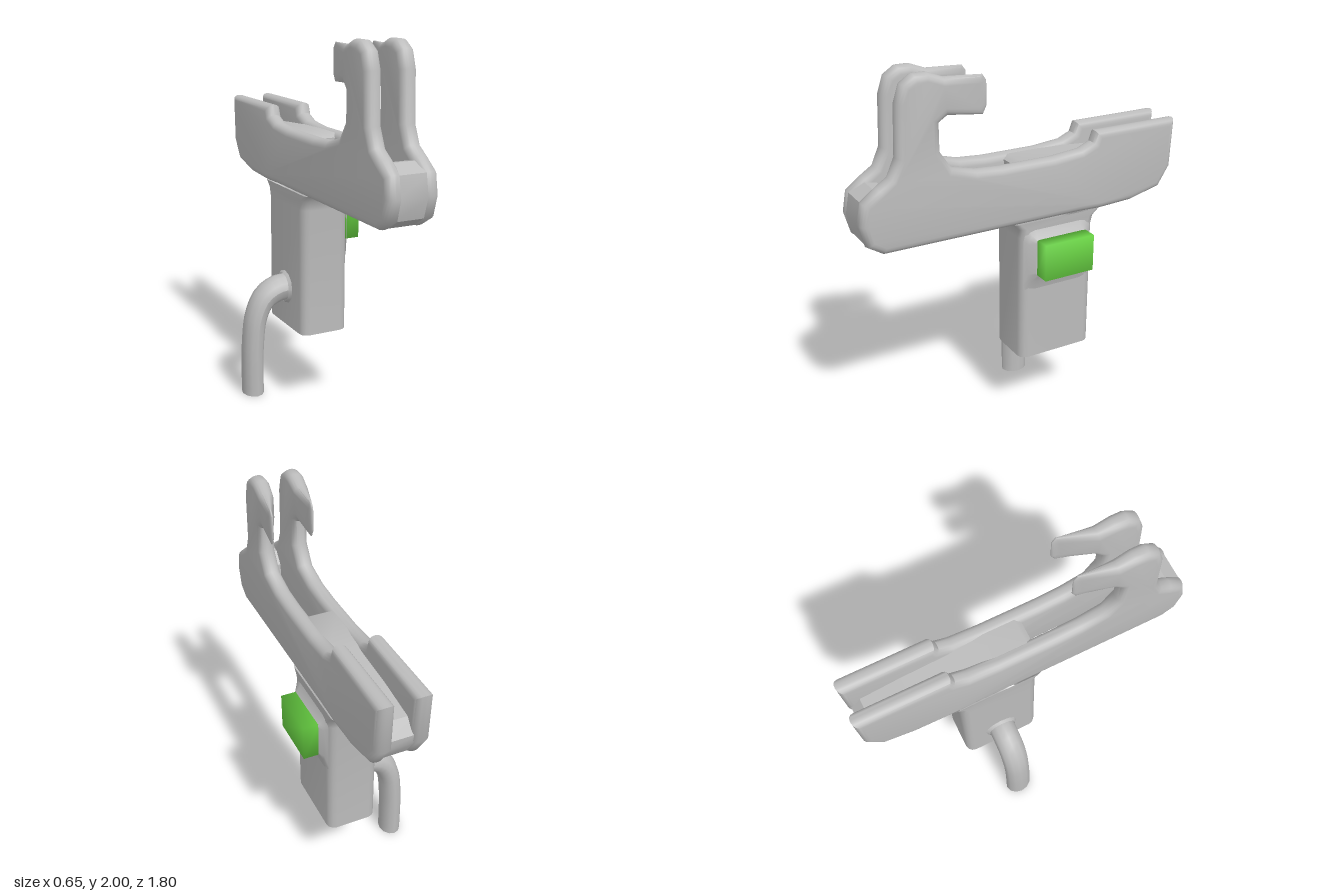
import * as THREE from 'three';
import { toCreasedNormals, mergeVertices } from 'three/addons/utils/BufferGeometryUtils.js';

const grey = new THREE.MeshStandardMaterial({ color: 0xbcbcbc, side: THREE.DoubleSide });
grey.name = 'grey metal';
const green = new THREE.MeshStandardMaterial({ color: 0x6ad544 });
green.name = 'green button';

function add(group, name, geometry, material) {
  const mesh = new THREE.Mesh(geometry, material);
  mesh.name = name;
  group.add(mesh);
}

// Side profile given as [z, y] pairs, extruded from x0 to x1 with rounded edges
function plate(profile, x0, x1, bevel) {
  const shape = new THREE.Shape(profile.map(([z, y]) => new THREE.Vector2(z, y)));
  const g = new THREE.ExtrudeGeometry(shape, {
    depth: x1 - x0 - 2 * bevel, bevelEnabled: bevel > 0,
    bevelThickness: bevel, bevelSize: bevel, bevelOffset: -bevel, bevelSegments: 4,
  });
  g.rotateY(-Math.PI / 2);
  g.translate(x1 - bevel, 0, 0);
  return g;
}

// Open skin through rounded rectangles [height, u0, u1, v0, v1, radius];
// place(u, v, height) turns each corner into a point
function loft(sections, place) {
  const pos = [], index = [], n = 16;
  for (const [h, u0, u1, v0, v1, r] of sections) {
    for (let i = 0; i < n; i++) {
      const q = Math.floor(i / 4), a = (q + (i % 4) / 3) * Math.PI / 2;
      const cu = q === 0 || q === 3 ? u1 - r : u0 + r;
      const cv = q < 2 ? v1 - r : v0 + r;
      pos.push(...place(cu + r * Math.cos(a), cv + r * Math.sin(a), h));
    }
  }
  for (let s = 0; s < sections.length - 1; s++) {
    for (let i = 0; i < n; i++) {
      const a = s * n + i, b = s * n + (i + 1) % n;
      index.push(a, a + n, b, b, a + n, b + n);
    }
  }
  const g = new THREE.BufferGeometry();
  g.setAttribute('position', new THREE.Float32BufferAttribute(pos, 3));
  g.setIndex(index);
  return toCreasedNormals(g, 0.9);
}

// Side rail with a hook in front and a raised fin behind
const railProfile = [
  [0.79, 1.16], [0.87, 1.21], [0.9, 1.32], [0.88, 1.43], [0.8, 1.49], [0.74, 1.53],
  [0.7, 1.62], [0.69, 1.87], [0.66, 1.96], [0.6, 2], [0.53, 2], [0.45, 1.97],
  [0.27, 1.97], [0.25, 1.94], [0.25, 1.82], [0.27, 1.78], [0.44, 1.79], [0.48, 1.76],
  [0.48, 1.62], [0.42, 1.53], [0.29, 1.495], [0.15, 1.485], [-0.15, 1.485], [-0.31, 1.5],
  [-0.38, 1.53], [-0.4, 1.585], [-0.9, 1.585], [-0.89, 1.32], [-0.82, 1.21],
  [-0.64, 1.165], [-0.44, 1.155], [-0.3, 1.16],
];

// The hook tip narrows to a thin blade and leans towards +x
function rail(x0, x1, tipX) {
  const g = plate(railProfile, x0, x1, 0.037);
  const p = g.attributes.position, mid = (x0 + x1) / 2;
  for (let i = 0; i < p.count; i++) {
    if (p.getY(i) < 1.7) continue;
    const t = THREE.MathUtils.clamp((0.48 - p.getZ(i)) / 0.2, 0, 1);
    p.setX(i, THREE.MathUtils.lerp(p.getX(i), tipX + (p.getX(i) - mid) * 0.22, t));
  }
  return toCreasedNormals(g, 0.8);
}

export function createModel() {
  const model = new THREE.Group();
  model.name = 'hookedBracket';

  add(model, 'rightRail', rail(-0.06, 0.028, 0.012), grey);
  add(model, 'leftRail', rail(0.127, 0.215, 0.224), grey);

  // Fillings between the rails, leaving the front slot open
  const web = [
    [0.05, 1.162], [0.05, 1.46], [0.02, 1.48], [-0.3, 1.48], [-0.6, 1.46], [-0.82, 1.43],
    [-0.875, 1.36], [-0.87, 1.31], [-0.81, 1.215], [-0.64, 1.168], [-0.44, 1.158],
  ];
  add(model, 'rearWeb', toCreasedNormals(plate(web, -0.022, 0.177, 0), 0.6), grey);
  const nose = [
    [0.67, 1.162], [0.785, 1.162], [0.867, 1.213], [0.897, 1.32], [0.877, 1.428],
    [0.8, 1.47], [0.74, 1.46], [0.69, 1.4],
  ];
  add(model, 'nose', toCreasedNormals(plate(nose, -0.022, 0.177, 0), 0.6), grey);

  // Hollow column, open below, flaring into the rails
  add(model, 'column', loft([
    [0.375, -0.06, 0.215, -0.39, 0.05, 0.045],
    [1.08, -0.06, 0.215, -0.39, 0.05, 0.045],
    [1.13, -0.06, 0.215, -0.4, 0.058, 0.04],
    [1.165, -0.058, 0.213, -0.44, 0.09, 0.035],
  ], (u, v, h) => [u, h, v]), grey);

  // Flared boss and the button on it
  add(model, 'buttonBoss', loft([
    [0.21, -0.37, 0.035, 0.76, 1.13, 0.06],
    [0.225, -0.35, 0.015, 0.83, 1.1, 0.05],
    [0.245, -0.325, -0.02, 0.87, 1.075, 0.02],
  ], (u, v, h) => [h, v, u]), grey);
  let box = new THREE.BoxGeometry(0.085, 0.2, 0.29);
  box.deleteAttribute('normal');
  box.deleteAttribute('uv');
  box = mergeVertices(box);
  box.computeVertexNormals();
  box.translate(0.2825, 0.973, -0.175);
  add(model, 'button', box, green);

  // Bent pipe with an oval section, flared where it joins the column
  const squash = 0.79;
  const path = new THREE.CatmullRomCurve3([
    [-0.04, 0.598], [-0.11, 0.594], [-0.19, 0.55], [-0.24, 0.45], [-0.262, 0.28], [-0.266, 0.14], [-0.266, 0],
  ].map(([x, y]) => new THREE.Vector3(x / squash, y, -0.175)));
  const pipe = new THREE.TubeGeometry(path, 18, 0.075, 12, false);
  pipe.scale(squash, 1, 1);
  pipe.computeVertexNormals();
  add(model, 'pipe', pipe, grey);
  add(model, 'pipeCollar', loft([
    [-0.058, -0.27, -0.08, 0.503, 0.693, 0.09],
    [-0.075, -0.255, -0.095, 0.518, 0.678, 0.075],
  ], (u, v, h) => [h, v, u]), grey);

  return model;
}
